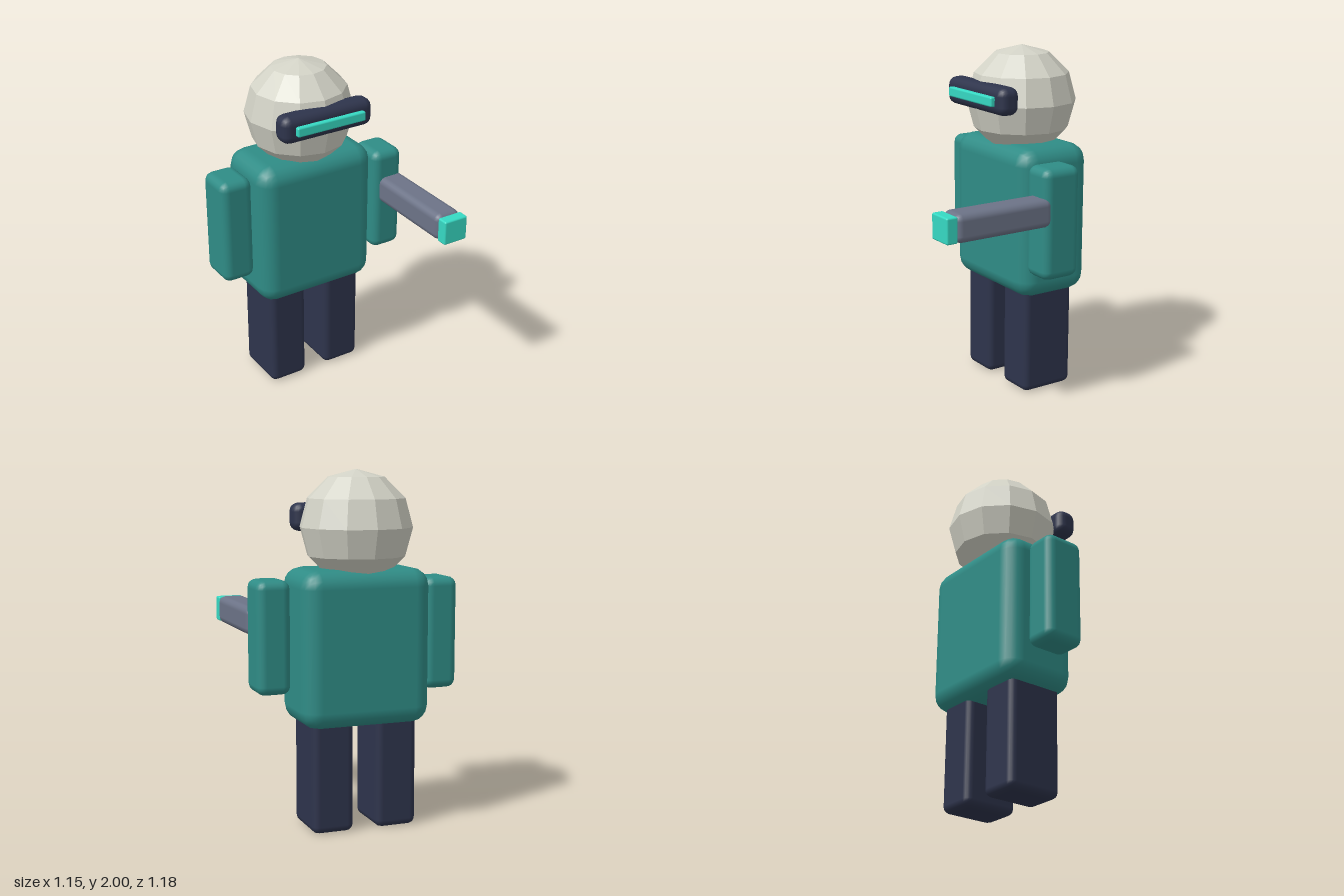
import * as THREE from 'three';
import { RoundedBoxGeometry } from 'three/addons/geometries/RoundedBoxGeometry.js';

const mat = (color) => new THREE.MeshStandardMaterial({ color });

export function createModel() {
  const model = new THREE.Group();
  model.name = 'blasterFigure';

  const teal = mat(0x2f8c86);
  const navy = mat(0x2e344c);
  const steel = mat(0x6c7387);
  const glow = mat(0x36d9c3);
  const bone = mat(0xd2d2c6);
  bone.flatShading = true;

  // Rounded box given by its [min, max] on each axis
  function block(name, material, x, y, z, radius) {
    const size = [x, y, z].map(([a, b]) => b - a);
    const mesh = new THREE.Mesh(new RoundedBoxGeometry(...size, 2, radius), material);
    mesh.position.set(...[x, y, z].map(([a, b]) => (a + b) / 2));
    mesh.name = name;
    model.add(mesh);
  }

  // Torso and legs
  block('torso', teal, [-0.375, 0.37], [0.593, 1.463], [-0.5, -0.04], 0.1);
  block('rightLeg', navy, [-0.31, -0.07], [0, 0.66], [-0.433, -0.1], 0.04);
  block('leftLeg', navy, [0.065, 0.305], [0, 0.66], [-0.433, -0.1], 0.04);

  // Arms, the left one set further forward
  block('rightArm', teal, [-0.575, -0.378], [0.765, 1.4], [-0.395, -0.152], 0.05);
  block('leftArm', teal, [0.373, 0.568], [0.765, 1.4], [-0.28, -0.041], 0.05);

  // Faceted head
  const head = new THREE.Mesh(new THREE.SphereGeometry(0.316, 12, 6), bone);
  head.position.set(-0.002, 1.684, -0.272);
  head.name = 'head';
  model.add(head);

  // Visor with glowing strip
  block('visor', navy, [-0.292, 0.287], [1.65, 1.81], [-0.07, 0.059], 0.05);
  block('visorStrip', glow, [-0.222, 0.217], [1.702, 1.758], [0.03, 0.085], 0.01);

  // Arm blaster
  block('blasterBarrel', steel, [0.41, 0.573], [1.077, 1.238], [-0.09, 0.528], 0.04);
  block('blasterTip', glow, [0.415, 0.568], [1.085, 1.23], [0.52, 0.588], 0.01);

  return model;
}
